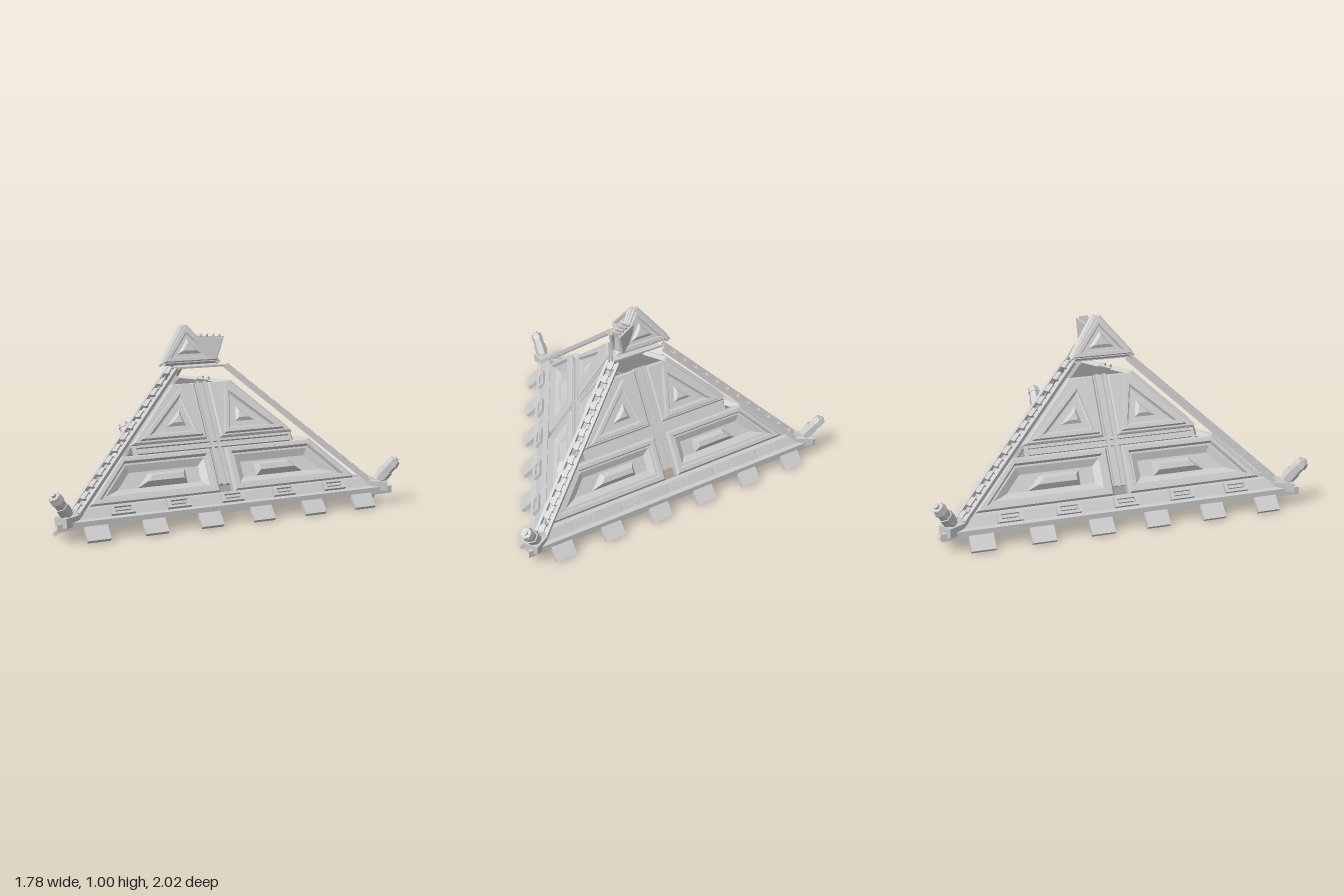
import * as THREE from 'three';

const material = new THREE.MeshStandardMaterial({ color: 0xcccccc, flatShading: true, side: THREE.DoubleSide });
const SLOPE = Math.atan(0.62);
const ROOT3 = Math.sqrt(3);
const CENTRE = -0.27;

function add(parent, name, geometry, position = [0, 0, 0], rotation = [0, 0, 0]) {
  const mesh = new THREE.Mesh(geometry, material);
  mesh.name = name;
  mesh.position.set(...position);
  mesh.rotation.set(...rotation);
  parent.add(mesh);
  return mesh;
}
const box = (w, h, d) => new THREE.BoxGeometry(w, h, d);

function subgroup(parent, name, position = [0, 0, 0], rotation = [0, 0, 0]) {
  const group = new THREE.Group();
  group.name = name;
  group.position.set(...position);
  group.rotation.set(...rotation);
  parent.add(group);
  return group;
}

// Moves every edge of a convex, counter-clockwise polygon inward
function inset(poly, amount) {
  const n = poly.length;
  return poly.map((p, i) => {
    const a = poly[(i + n - 1) % n], b = poly[(i + 1) % n];
    const l1 = Math.hypot(p[0] - a[0], p[1] - a[1]), l2 = Math.hypot(b[0] - p[0], b[1] - p[1]);
    const n1 = [(a[1] - p[1]) / l1, (p[0] - a[0]) / l1];
    const n2 = [(p[1] - b[1]) / l2, (b[0] - p[0]) / l2];
    const k = amount / (1 + n1[0] * n2[0] + n1[1] * n2[1]);
    return [p[0] + (n1[0] + n2[0]) * k, p[1] + (n1[1] + n2[1]) * k];
  });
}

// Stacks inset copies of a polygon: each step is [inset, height]
function steppedPanel(poly, steps) {
  const rings = steps.map(([amount, h]) => inset(poly, amount).map(p => [p[0], p[1], h]));
  const n = poly.length, out = [];
  for (let k = 0; k < rings.length - 1; k++) {
    for (let i = 0; i < n; i++) {
      const j = (i + 1) % n, a = rings[k], b = rings[k + 1];
      out.push(a[i], a[j], b[j], a[i], b[j], b[i]);
    }
  }
  const first = rings[0], last = rings[rings.length - 1];
  for (let i = 1; i < n - 1; i++) {
    out.push(first[0], first[i + 1], first[i], last[0], last[i], last[i + 1]);
  }
  return toGeometry(out);
}

function toGeometry(points) {
  const geometry = new THREE.BufferGeometry();
  geometry.setAttribute('position', new THREE.Float32BufferAttribute(points.flat(), 3));
  geometry.computeVertexNormals();
  return geometry;
}

const mirrored = poly => poly.map(([x, y]) => [-x, y]).reverse();

// One mitred side of the base frame, swept from a (distance, height) profile
function baseBeam() {
  const profile = [[0.49, 0.06], [0.56, 0.06], [0.56, 0.1], [0.535, 0.105], [0.505, 0.15], [0.475, 0.15]];
  const out = [];
  profile.forEach(([d, y], i) => {
    const [e, z] = profile[(i + 1) % profile.length];
    const a = [-d * ROOT3, y, d], b = [d * ROOT3, y, d], c = [e * ROOT3, z, e], f = [-e * ROOT3, z, e];
    out.push(a, b, c, a, c, f);
  });
  return toGeometry(out);
}

function buildSide(side) {
  // Base frame, hanging flanges and slotted blocks
  add(side, 'baseBeam', baseBeam());
  for (const x of [-0.77, -0.46, -0.15, 0.15, 0.46, 0.77]) {
    add(side, 'flange', box(0.125, 0.022, 0.13), [x, 0.053, 0.565], [0.8, 0, 0]);
  }
  for (let i = -2; i <= 2; i++) {
    const slot = subgroup(side, 'slotBlock', [i * 0.307, 0.13, 0.522], [-0.7, 0, 0]);
    for (const s of [-1, 1]) {
      add(slot, 'slotRail', box(0.13, 0.013, 0.03), [0, s * 0.02, 0]);
      add(slot, 'slotEnd', box(0.018, 0.053, 0.03), [s * 0.056, 0, 0]);
    }
    add(slot, 'slotCore', box(0.08, 0.012, 0.022));
  }

  // Sloping wall of four recessed panels
  const wall = subgroup(side, 'wall', [0, 0.13, 0.47], [-SLOPE, 0, 0]);
  const lower = [[0.04, 0.012], [0.785, 0.012], [0.555, 0.27], [0.04, 0.27]];
  const upper = [[0.04, 0.33], [0.475, 0.33], [0.175, 0.66], [0.04, 0.66]];
  const triangle = [[0.06, 0.345], [0.43, 0.345], [0.13, 0.64]];
  const bump = [[0.2, 0.095], [0.49, 0.095], [0.41, 0.175], [0.2, 0.175]];
  for (const flip of [p => p, mirrored]) {
    add(wall, 'lowerPanel', steppedPanel(flip(lower),
      [[0, -0.035], [0, 0], [0.012, 0.018], [0.032, 0.018], [0.04, 0], [0.05, 0], [0.085, -0.022]]));
    add(wall, 'lowerPanelBoss', steppedPanel(flip(bump), [[0, -0.025], [0.025, 0.008]]));
    add(wall, 'upperPanel', steppedPanel(flip(upper), [[0, -0.035], [0, -0.008], [0.008, 0]]));
    add(wall, 'upperPanelFrame', steppedPanel(flip(triangle),
      [[0, -0.005], [0.006, 0.018], [0.024, 0.018], [0.03, 0.004], [0.05, -0.008], [0.06, -0.008], [0.085, 0.014]]));
  }

  // Seams between the panels
  add(wall, 'verticalSeam', box(0.084, 0.6, 0.012), [0, 0.365, -0.025]);
  add(wall, 'horizontalSeam', box(0.94, 0.065, 0.012), [0, 0.3, -0.025]);
  for (const s of [-1, 1]) {
    add(wall, 'verticalStrip', box(0.016, 0.6, 0.025), [s * 0.02, 0.365, -0.012]);
    add(wall, 'horizontalStrip', box(0.9, 0.014, 0.025), [0, 0.3 + s * 0.017, -0.012]);
  }
}

function buildRidge(ridge) {
  // Ladder rail running up the corner
  const length = Math.hypot(0.64, 0.803);
  const rail = subgroup(ridge, 'ridgeRail', [0, 0.45, 0.5885], [-Math.atan2(0.803, 0.64), 0, 0]);
  for (const s of [-1, 1]) {
    add(rail, 'railEdge', box(0.016, length, 0.02), [s * 0.032, 0, 0]);
  }
  for (let i = 0; i < 13; i++) {
    const y = (i - 6) * 0.081;
    add(rail, 'railLink', box(0.06, 0.034, 0.016), [0, y, 0]);
    add(rail, 'railStud', box(0.026, 0.05, 0.016), [0, y, 0.008]);
  }

  // Corner foot and tilted hexagonal canister
  add(ridge, 'cornerFoot', box(0.08, 0.05, 0.13), [0, 0.105, 1.03]);
  const canister = subgroup(ridge, 'canister', [0, 0.19, 1.09], [0.68, 0, 0]);
  add(canister, 'canisterBody', new THREE.CylinderGeometry(0.033, 0.033, 0.14, 6));
  add(canister, 'canisterHead', new THREE.CylinderGeometry(0.03, 0.039, 0.035, 6), [0, 0.058, 0]);
  add(canister, 'canisterCollar', new THREE.CylinderGeometry(0.039, 0.039, 0.05, 6), [0, -0.025, 0]);
  add(canister, 'canisterPin', new THREE.CylinderGeometry(0.013, 0.013, 0.016, 6), [0, 0.08, 0]);
}

export function createModel() {
  const model = new THREE.Group();
  model.name = 'pyramid';
  const body = subgroup(model, 'body', [CENTRE, 0, 0]);
  const cap = subgroup(model, 'cap', [-0.32, 0, 0]);

  for (let i = 0; i < 3; i++) {
    const angle = Math.PI / 6 + i * Math.PI * 2 / 3;
    buildSide(subgroup(body, 'side', [0, 0, 0], [0, angle, 0]));
    buildRidge(subgroup(body, 'ridge', [0, 0, 0], [0, angle + Math.PI / 3, 0]));

    // Floating triangular cap plates
    const face = subgroup(cap, 'capSide', [0, 0, 0], [0, angle, 0]);
    const tilt = subgroup(face, 'capTilt', [0, 0.79, 0.1], [-0.42, 0, 0]);
    add(tilt, 'capPlate', steppedPanel([[-0.18, 0], [0.18, 0], [0.012, 0.222], [-0.012, 0.222]],
      [[0, -0.02], [0, 0.005], [0.004, 0.01]]));
    add(tilt, 'capFrame', steppedPanel([[-0.165, 0.008], [0.165, 0.008], [0, 0.212]],
      [[0, 0.008], [0.004, 0.02], [0.022, 0.02], [0.028, 0.008], [0.042, 0.008], [0.06, 0.022]]));
  }

  // Thin plate closing the top of the ridges
  add(body, 'topPlate', new THREE.CylinderGeometry(0.19, 0.19, 0.01, 3), [0, 0.77, 0], [0, Math.PI / 2, 0]);

  // Wedge-shaped unit on the front corner of the cap
  const outline = new THREE.Shape([[-0.26, 0.93], [-0.23, 0.81], [-0.13, 0.81], [-0.095, 0.93]]
    .map(p => new THREE.Vector2(...p)));
  const wedge = subgroup(model, 'capUnit');
  for (const s of [-1, 1]) {
    add(wedge, 'unitCheek', new THREE.ExtrudeGeometry(outline, { depth: 0.016, bevelEnabled: false }),
      [0, 0, s * 0.028 - 0.008]);
  }
  add(wedge, 'unitCore', box(0.11, 0.1, 0.04), [-0.185, 0.865, 0]);
  for (const x of [-0.225, -0.19, -0.155, -0.12]) {
    add(wedge, 'unitFin', box(0.008, 0.035, 0.05), [x, 0.927, 0], [0, 0, -0.25]);
  }
  return model;
}
